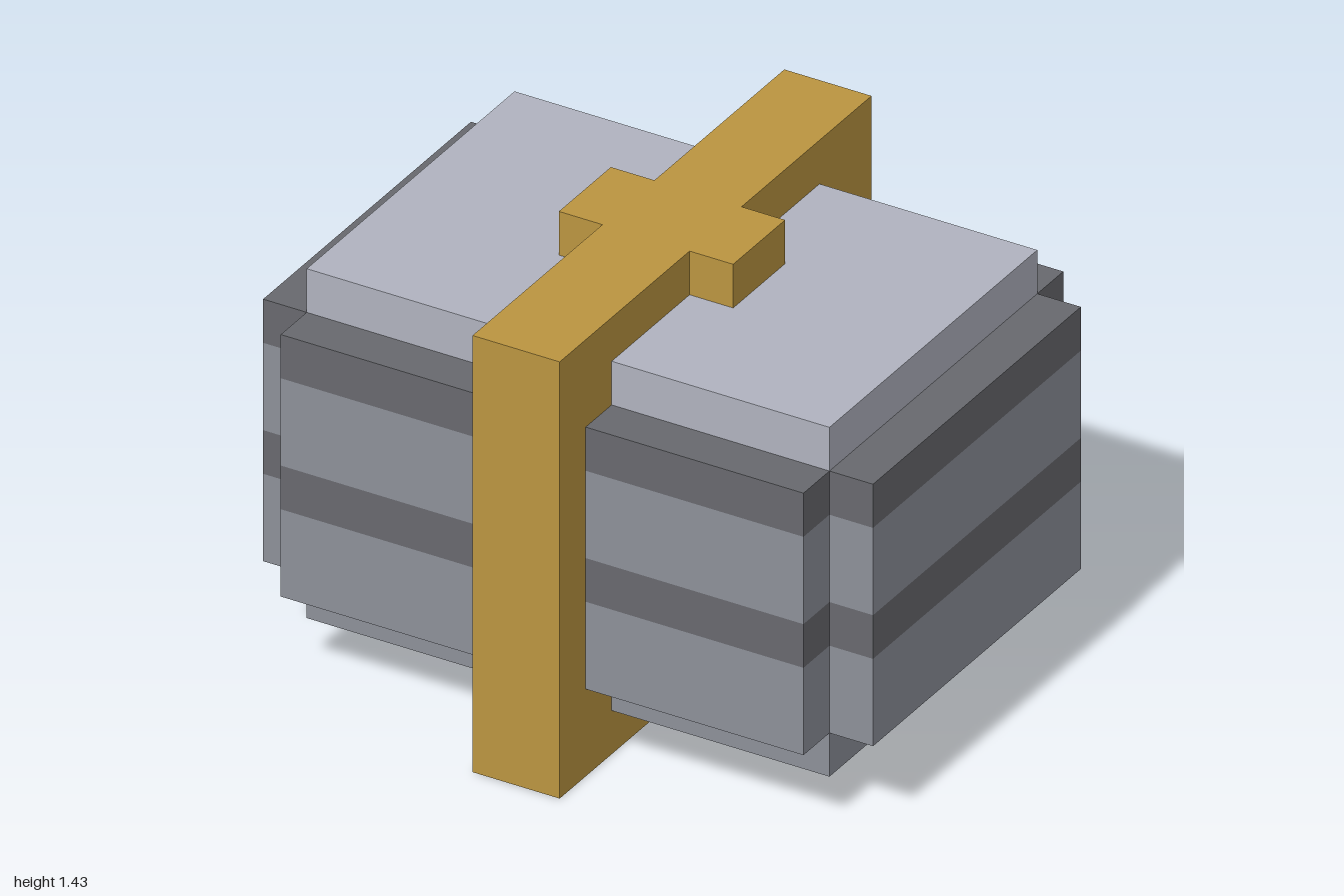
import * as THREE from 'three';

const U = 1 / 7; // every dimension sits on this step

const material = (name, color) => {
  const m = new THREE.MeshStandardMaterial({ color });
  m.name = name;
  return m;
};

// Box from centre x/z, bottom y and sizes, all in steps
function box(name, mat, w, h, d, x, y, z) {
  const mesh = new THREE.Mesh(new THREE.BoxGeometry(w * U, h * U, d * U), mat);
  mesh.position.set(x * U, (y + h / 2) * U, z * U);
  mesh.name = name;
  return mesh;
}

// Cross-shaped layer: a rectangle with its four corners notched in
function notchedLayer(name, mat, y0, y1) {
  const outline = [
    [7, 4], [6, 4], [6, 5], [-6, 5], [-6, 4], [-7, 4],
    [-7, -4], [-6, -4], [-6, -5], [6, -5], [6, -4], [7, -4],
  ].map(([x, z]) => new THREE.Vector2(x * U, z * U));
  const geometry = new THREE.ExtrudeGeometry(new THREE.Shape(outline), {
    depth: (y1 - y0) * U, bevelEnabled: false,
  });
  geometry.rotateX(-Math.PI / 2);
  const mesh = new THREE.Mesh(geometry, mat);
  mesh.position.y = y0 * U;
  mesh.name = name;
  return mesh;
}

export function createModel() {
  const light = material('lightGrey', 0xb0b3bf);
  const mid = material('midGrey', 0x8d9099);
  const dark = material('darkGrey', 0x68696e);
  const gold = material('gold', 0xbb9540);

  const model = new THREE.Group();
  model.name = 'strappedBlock';

  // Body: base, banded layers and lid
  model.add(box('base', mid, 12, 1, 8, 0, 1, 0));
  model.add(notchedLayer('lowerBody', mid, 2, 4));
  model.add(notchedLayer('middleBand', dark, 4, 5));
  model.add(notchedLayer('upperBody', mid, 5, 7));
  model.add(notchedLayer('topBand', dark, 7, 8));
  model.add(box('lid', light, 12, 1, 8, 0, 8, 0));

  // Strap wrapped around the middle, with a tab on each side
  model.add(box('strap', gold, 2, 10, 12, 0, 0, 0));
  for (const side of [1, -1]) {
    model.add(box(side > 0 ? 'leftTab' : 'rightTab', gold, 1, 1, 2, side * 1.5, 9, 0));
  }
  return model;
}
